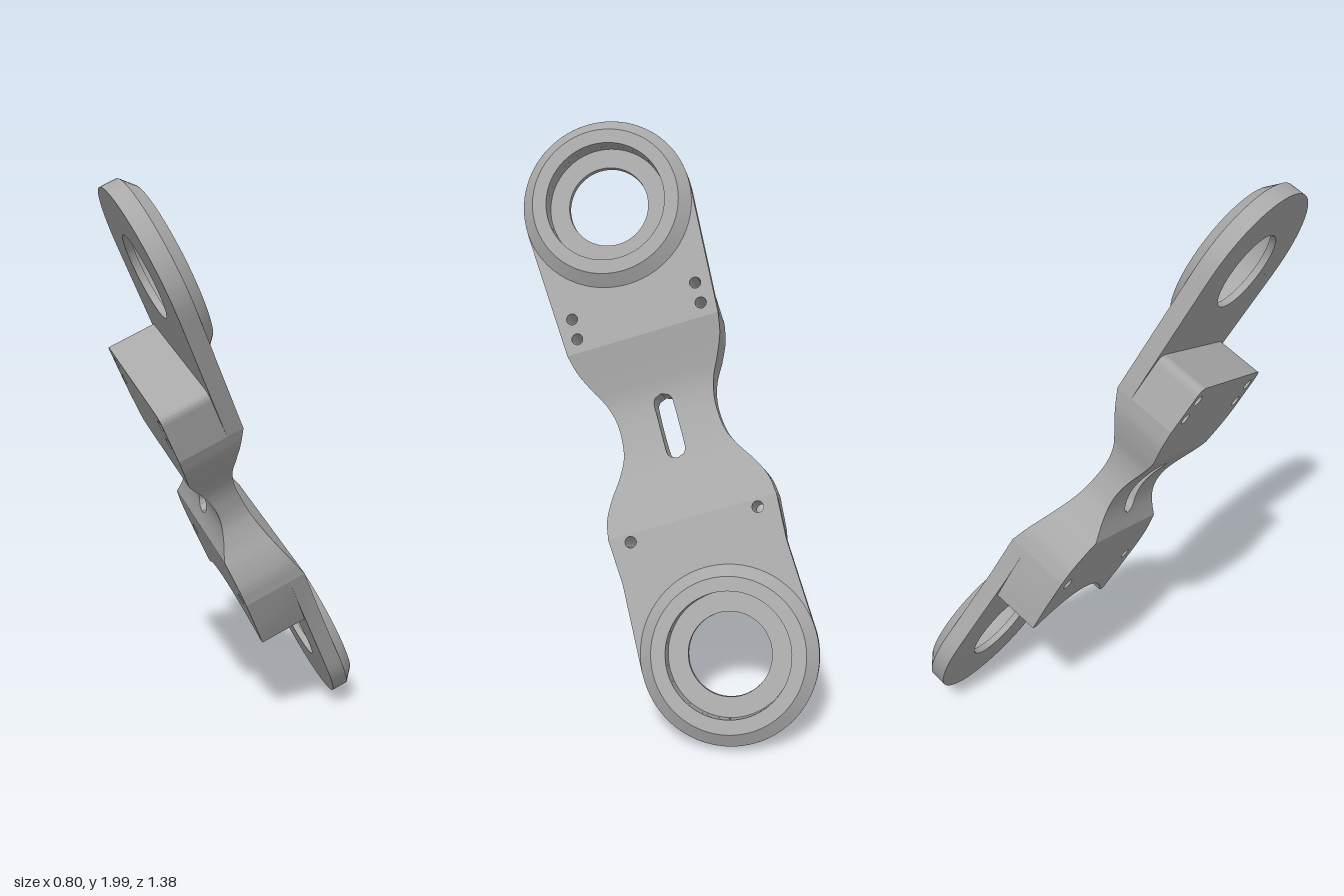
import * as THREE from 'three';
import { toCreasedNormals } from 'three/addons/utils/BufferGeometryUtils.js';

// Local frame: x = across the link, y = along the link, z = thickness (ring side is +z)
const BACK = -0.195, MID = -0.02, FRONT = 0.04;   // block back, plate back, plate front
const RING_Y = 0.827, RING_R = 0.307, BORE_R = 0.215;
const NECK_TOP = 0.33, NECK_BOTTOM = -0.34;

export function createModel() {
  const grey = new THREE.MeshStandardMaterial({ color: 0xa8a8a8 });
  grey.name = 'plain grey';
  const link = new THREE.Group();
  link.name = 'link';

  const add = (geometry, name, crease = 0.4) => {
    const mesh = new THREE.Mesh(toCreasedNormals(geometry, crease), grey);
    mesh.name = name;
    link.add(mesh);
    return mesh;
  };

  const punch = (shape, x, y, r) => {
    const hole = new THREE.Path();
    hole.absarc(x, y, r, 0, Math.PI * 2, true);
    shape.holes.push(hole);
  };

  const slab = (shape, z0, z1, name) => {
    const geometry = new THREE.ExtrudeGeometry(shape, { depth: z1 - z0, bevelEnabled: false, curveSegments: 32 });
    geometry.translate(0, 0, z0);
    return add(geometry, name);
  };

  const screwHoles = (shape, heights) => {
    for (const y of heights) for (const side of [-1, 1]) punch(shape, side * 0.23, y, 0.02);
  };

  // Flat plates carrying the bearing rings
  const upperHoles = [0.455, 0.38], lowerHoles = [-0.368];
  const upperPlate = new THREE.Shape();
  upperPlate.moveTo(-0.28, NECK_TOP);
  upperPlate.lineTo(0.28, NECK_TOP);
  upperPlate.lineTo(RING_R, RING_Y - 0.03);
  upperPlate.absarc(0, RING_Y, RING_R, 0, Math.PI, false);
  upperPlate.lineTo(-RING_R, RING_Y - 0.03);
  upperPlate.closePath();
  punch(upperPlate, 0, RING_Y, BORE_R);
  screwHoles(upperPlate, upperHoles);
  slab(upperPlate, MID, FRONT, 'upperPlate');

  const lowerPlate = new THREE.Shape();
  lowerPlate.moveTo(0.305, NECK_BOTTOM);
  lowerPlate.lineTo(-0.305, NECK_BOTTOM);
  lowerPlate.lineTo(-0.295, -0.5);
  lowerPlate.lineTo(-RING_R, -RING_Y + 0.03);
  lowerPlate.absarc(0, -RING_Y, RING_R, Math.PI, Math.PI * 2, false);
  lowerPlate.lineTo(0.295, -0.5);
  lowerPlate.closePath();
  punch(lowerPlate, 0, -RING_Y, BORE_R);
  screwHoles(lowerPlate, lowerHoles);
  slab(lowerPlate, MID, FRONT, 'lowerPlate');

  // Upper block with rounded top corners
  const upperBlock = new THREE.Shape();
  upperBlock.moveTo(-0.28, NECK_TOP);
  upperBlock.lineTo(0.28, NECK_TOP);
  upperBlock.lineTo(0.275, 0.475);
  upperBlock.quadraticCurveTo(0.275, 0.51, 0.24, 0.51);
  upperBlock.lineTo(-0.24, 0.51);
  upperBlock.quadraticCurveTo(-0.275, 0.51, -0.275, 0.475);
  upperBlock.closePath();
  screwHoles(upperBlock, upperHoles);
  slab(upperBlock, BACK, MID, 'upperBlock');

  // Lower block, its end hollowed around the lower ring
  const arcR = 0.36, arcAngle = Math.acos(0.25 / arcR), arcY = -RING_Y + Math.sin(arcAngle) * arcR;
  const lowerBlock = new THREE.Shape();
  lowerBlock.moveTo(0.305, NECK_BOTTOM);
  lowerBlock.lineTo(-0.305, NECK_BOTTOM);
  lowerBlock.lineTo(-0.295, -0.46);
  lowerBlock.lineTo(-0.275, arcY);
  lowerBlock.lineTo(-0.25, arcY);
  lowerBlock.absarc(0, -RING_Y, arcR, Math.PI - arcAngle, arcAngle, true);
  lowerBlock.lineTo(0.275, arcY);
  lowerBlock.lineTo(0.295, -0.46);
  lowerBlock.closePath();
  screwHoles(lowerBlock, lowerHoles);
  slab(lowerBlock, BACK, MID, 'lowerBlock');

  // Chamfered rings with a stepped bore
  const ringProfile = [
    [0.145, MID], [BORE_R, MID], [RING_R, FRONT], [0.265, 0.08],
    [BORE_R, 0.08], [BORE_R, 0.005], [0.145, 0.005], [0.145, MID],
  ].map(([r, z]) => new THREE.Vector2(r, z));
  for (const side of [1, -1]) {
    const ring = new THREE.LatheGeometry(ringProfile, 72);
    ring.rotateX(Math.PI / 2);
    ring.translate(0, side * RING_Y, 0);
    add(ring, side > 0 ? 'upperRing' : 'lowerRing');
  }

  // Waisted neck with a through slot, lofted as two mirrored halves
  const halfWidths = [0.28, 0.265, 0.235, 0.2, 0.182, 0.18, 0.19, 0.222, 0.265, 0.295, 0.305];
  const fronts = [0.04, 0.012, -0.015, -0.038, -0.046, -0.043, -0.036, -0.022, -0.002, 0.02, 0.04];
  const curve = new THREE.CatmullRomCurve3(
    halfWidths.map((w, i) => new THREE.Vector3(w, fronts[i], 0)), false, 'catmullrom');
  const steps = 67, slotEnd = 0.12, slotR = 0.035;

  const section = (i) => {
    const y = NECK_TOP + (NECK_BOTTOM - NECK_TOP) * i / steps;
    const { x: outer, y: front } = curve.getPoint(i / steps);
    const t = THREE.MathUtils.clamp((0.19 - y) / 0.36, 0, 1);
    const back = BACK + 0.055 * Math.sin(Math.PI * Math.pow(t, 1.3));
    const past = Math.max(0, Math.abs(y) - (slotEnd - slotR));
    const inner = past < slotR - 1e-6 ? Math.sqrt(slotR * slotR - past * past) : 0;
    return { inner, points: [[inner, y, back], [outer, y, back], [outer, y, front], [inner, y, front]] };
  };

  for (const side of [1, -1]) {
    const positions = [];
    const triangle = (a, b, c) => {
      for (const p of side > 0 ? [a, b, c] : [a, c, b]) positions.push(side * p[0], p[1], p[2]);
    };
    for (let i = 0; i < steps; i++) {
      const s = section(i), n = section(i + 1);
      for (let k = 0; k < 4; k++) {
        if (k === 3 && s.inner === 0 && n.inner === 0) continue; // halves meet here
        const m = (k + 1) % 4;
        triangle(s.points[k], s.points[m], n.points[k]);
        triangle(s.points[m], n.points[m], n.points[k]);
      }
    }
    const neck = new THREE.BufferGeometry();
    neck.setAttribute('position', new THREE.Float32BufferAttribute(positions, 3));
    add(neck, side > 0 ? 'neckHalfA' : 'neckHalfB', 0.35);
  }

  // Tilt the link into its resting pose
  const along = new THREE.Vector3(-0.197, 0.853, 0.484).normalize();
  const across = along.clone().cross(new THREE.Vector3(0.79, 0.43, -0.44)).normalize();
  const normal = across.clone().cross(along);
  link.quaternion.setFromRotationMatrix(new THREE.Matrix4().makeBasis(across, along, normal));
  link.position.y = 1;

  const model = new THREE.Group();
  model.name = 'bearingLink';
  model.add(link);
  return model;
}
